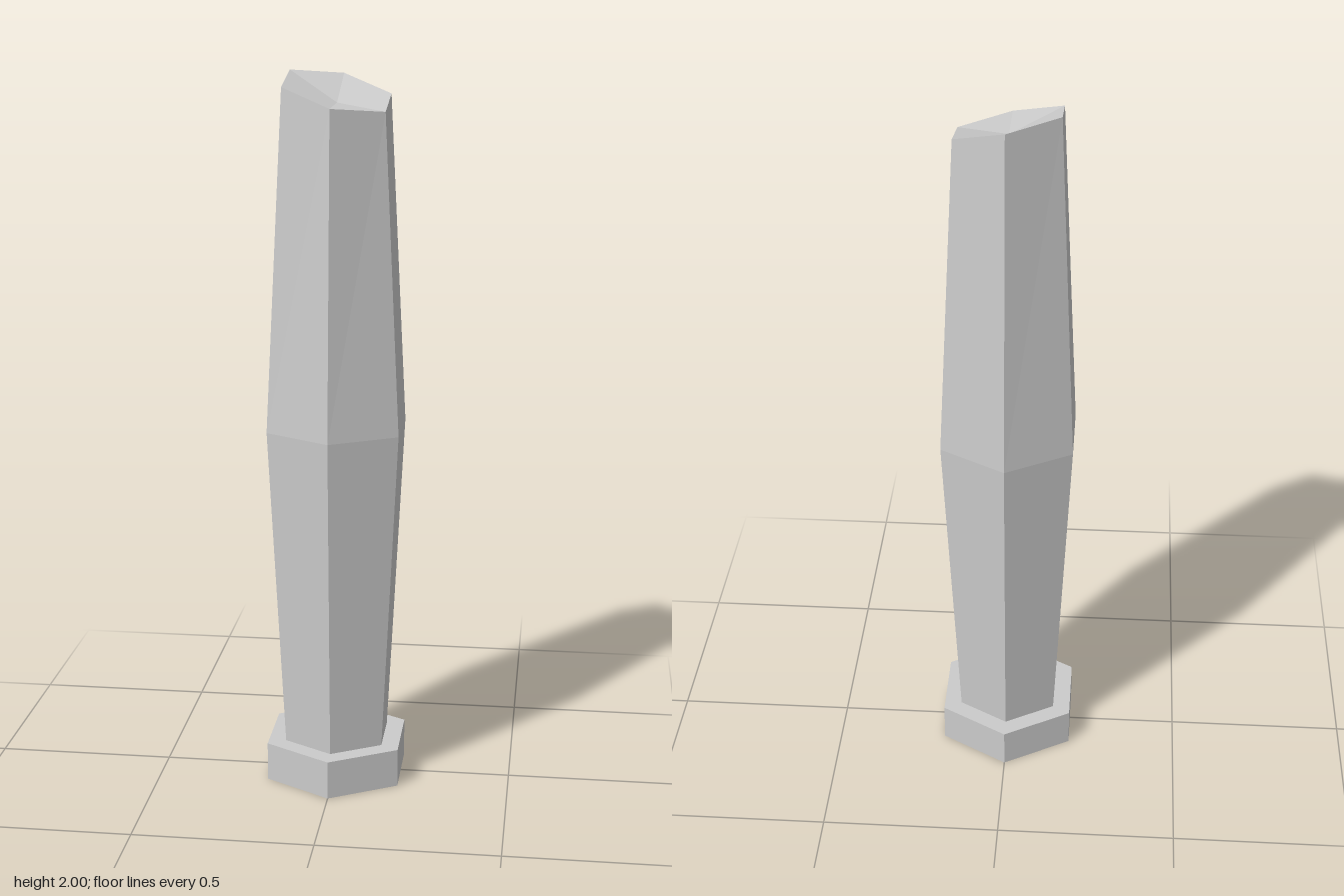
import * as THREE from 'three';

const material = new THREE.MeshStandardMaterial({ color: 0xcccccc, flatShading: true });

const BASE_HEIGHT = 0.11;
const WAIST_Y = 1.03;
const TOP_Y = 1.952;

// Hexagonal foot
function createFoot() {
  const geometry = new THREE.CylinderGeometry(0.216, 0.216, BASE_HEIGHT, 6);
  geometry.translate(0, BASE_HEIGHT / 2, 0);
  const foot = new THREE.Mesh(geometry, material);
  foot.name = 'foot';
  return foot;
}

// Six-sided shaft, widest at mid height, with a slanted, slightly hollow top
function createShaft() {
  const geometry = new THREE.CylinderGeometry(0.159, 0.159, 2, 6, 2);
  const p = geometry.attributes.position;
  for (let i = 0; i < p.count; i++) {
    const x = p.getX(i), y = p.getY(i), z = p.getZ(i);
    if (y > 0.5) {
      const isCentre = Math.hypot(x, z) < 0.01;
      const height = isCentre ? 1.92 : TOP_Y - 0.225 * x - 0.22 * z;
      p.setXYZ(i, x, height, z - 0.04 * x);
    } else if (y > -0.5) {
      const bulge = 0.21 / 0.159;
      p.setXYZ(i, x * bulge, WAIST_Y, z * bulge);
    } else {
      p.setY(i, BASE_HEIGHT);
    }
  }
  geometry.computeVertexNormals();
  const shaft = new THREE.Mesh(geometry, material);
  shaft.name = 'shaft';
  return shaft;
}

export function createModel() {
  const group = new THREE.Group();
  group.name = 'hexagonalPillar';
  group.add(createFoot(), createShaft());
  return group;
}
